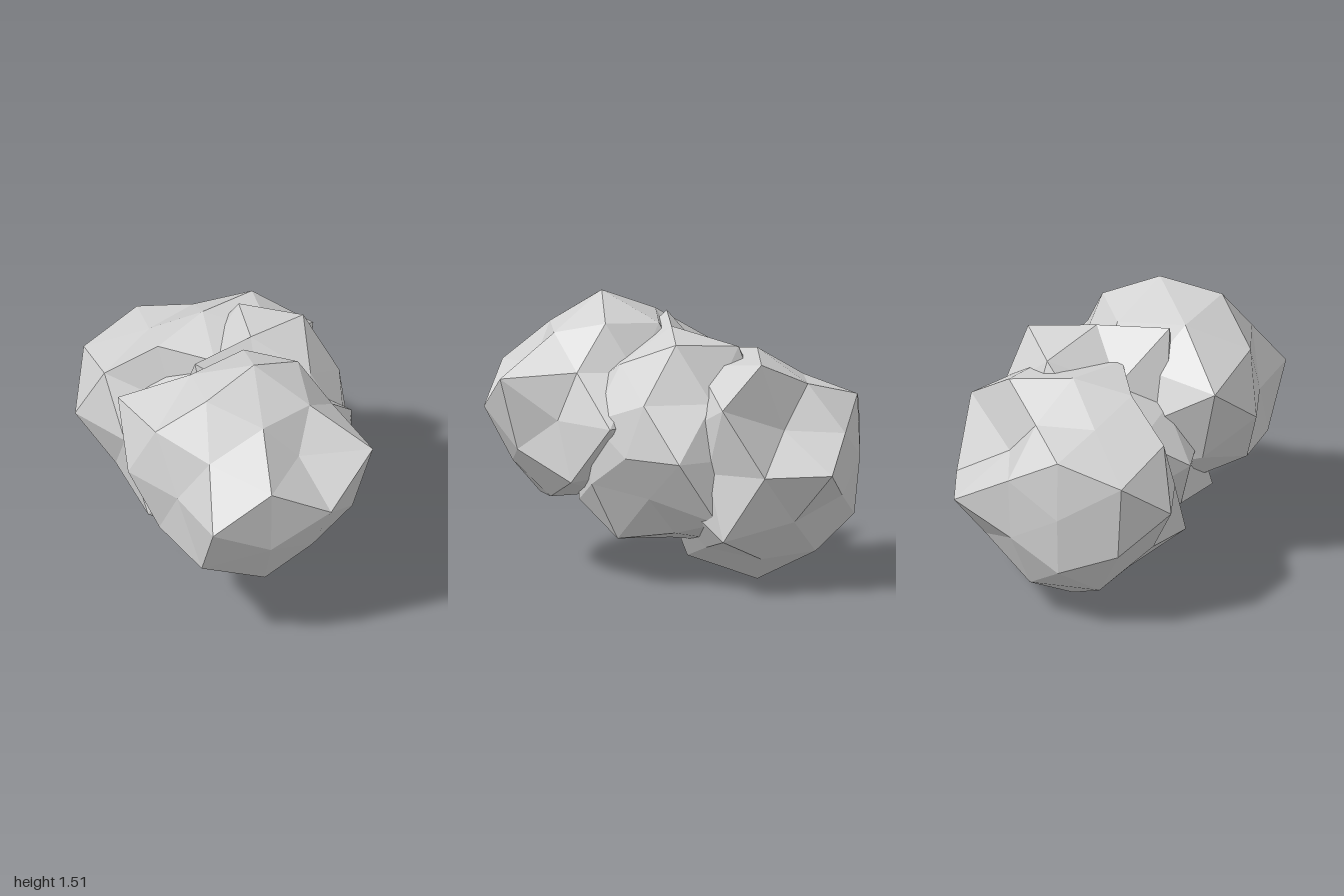
import * as THREE from 'three';

// Radii of each rock along the 42 directions of a once-divided icosahedron.
// axis: +x -x +y -y +z -z; xy, yz, xz: signs ++ +- -+ --;
// tall, deep, wide: directions leaning to y, z, x, signs +++ ++- +-+ +-- -++ -+- --+ ---
const ROCKS = [
  {
    name: 'frontRock', centre: [-0.18, 0.89, 0.37],
    axis: [0.69, 0.54, 0.625, 0.47, 0.63, 0.55],
    xy: [0.59, 0.5, 0.64, 0.5], yz: [0.43, 0.5, 0.56, 0.55], xz: [0.5, 0.55, 0.73, 0.68],
    tall: [0.53, 0.59, 0.57, 0.55, 0.53, 0.6, 0.63, 0.55],
    deep: [0.7, 0.55, 0.58, 0.55, 0.63, 0.8, 0.6, 0.62],
    wide: [0.515, 0.5, 0.64, 0.55, 0.58, 0.645, 0.68, 0.62],
  },
  {
    name: 'middleRock', centre: [0.105, 0.74, 0.015],
    axis: [0.64, 0.55, 0.63, 0.52, 0.5, 0.55],
    xy: [0.705, 0.52, 0.75, 0.585], yz: [0.55, 0.55, 0.58, 0.55], xz: [0.525, 0.58, 0.5, 0.66],
    tall: [0.57, 0.69, 0.6, 0.63, 0.55, 0.48, 0.58, 0.55],
    deep: [0.55, 0.6, 0.55, 0.55, 0.5, 0.63, 0.55, 0.55],
    wide: [0.58, 0.6, 0.47, 0.68, 0.5, 0.5, 0.73, 0.6],
  },
  {
    name: 'backRock', centre: [0.16, 0.67, -0.44],
    axis: [0.63, 0.55, 0.59, 0.67, 0.55, 0.55],
    xy: [0.66, 0.59, 0.6, 0.58], yz: [0.58, 0.63, 0.55, 0.61], xz: [0.56, 0.69, 0.52, 0.69],
    tall: [0.66, 0.52, 0.57, 0.6, 0.68, 0.51, 0.72, 0.62],
    deep: [0.55, 0.56, 0.55, 0.54, 0.55, 0.7, 0.55, 0.65],
    wide: [0.725, 0.4, 0.71, 0.55, 0.38, 0.645, 0.71, 0.57],
  },
];

// Pick the radius that belongs to a unit direction
function radiusAlong(rock, v) {
  const c = v.toArray();
  const used = [0, 1, 2].filter((i) => Math.abs(c[i]) > 0.01);
  const signs = used.reduce((n, i) => n * 2 + (c[i] < 0 ? 1 : 0), 0);
  if (used.length === 1) return rock.axis[used[0] * 2 + signs];
  if (used.length === 2) return rock[used.map((i) => 'xyz'[i]).join('')][signs];
  const size = c.map(Math.abs);
  const longest = size.indexOf(Math.max(...size));
  return rock[['wide', 'tall', 'deep'][longest]][signs];
}

// A faceted rock: each corner of the ball is pushed in or out
function buildRock(rock, material) {
  const geometry = new THREE.IcosahedronGeometry(1, 1);
  const position = geometry.attributes.position;
  const v = new THREE.Vector3();
  for (let i = 0; i < position.count; i++) {
    v.fromBufferAttribute(position, i).normalize();
    v.multiplyScalar(radiusAlong(rock, v));
    position.setXYZ(i, v.x, v.y, v.z);
  }
  geometry.computeVertexNormals();
  const mesh = new THREE.Mesh(geometry, material);
  mesh.name = rock.name;
  mesh.position.set(...rock.centre);
  return mesh;
}

export function createModel() {
  const stone = new THREE.MeshStandardMaterial({ color: 0xd2d2d2, flatShading: true });
  stone.name = 'stone grey';
  const group = new THREE.Group();
  group.name = 'rockCluster';
  for (const rock of ROCKS) group.add(buildRock(rock, stone));
  return group;
}
